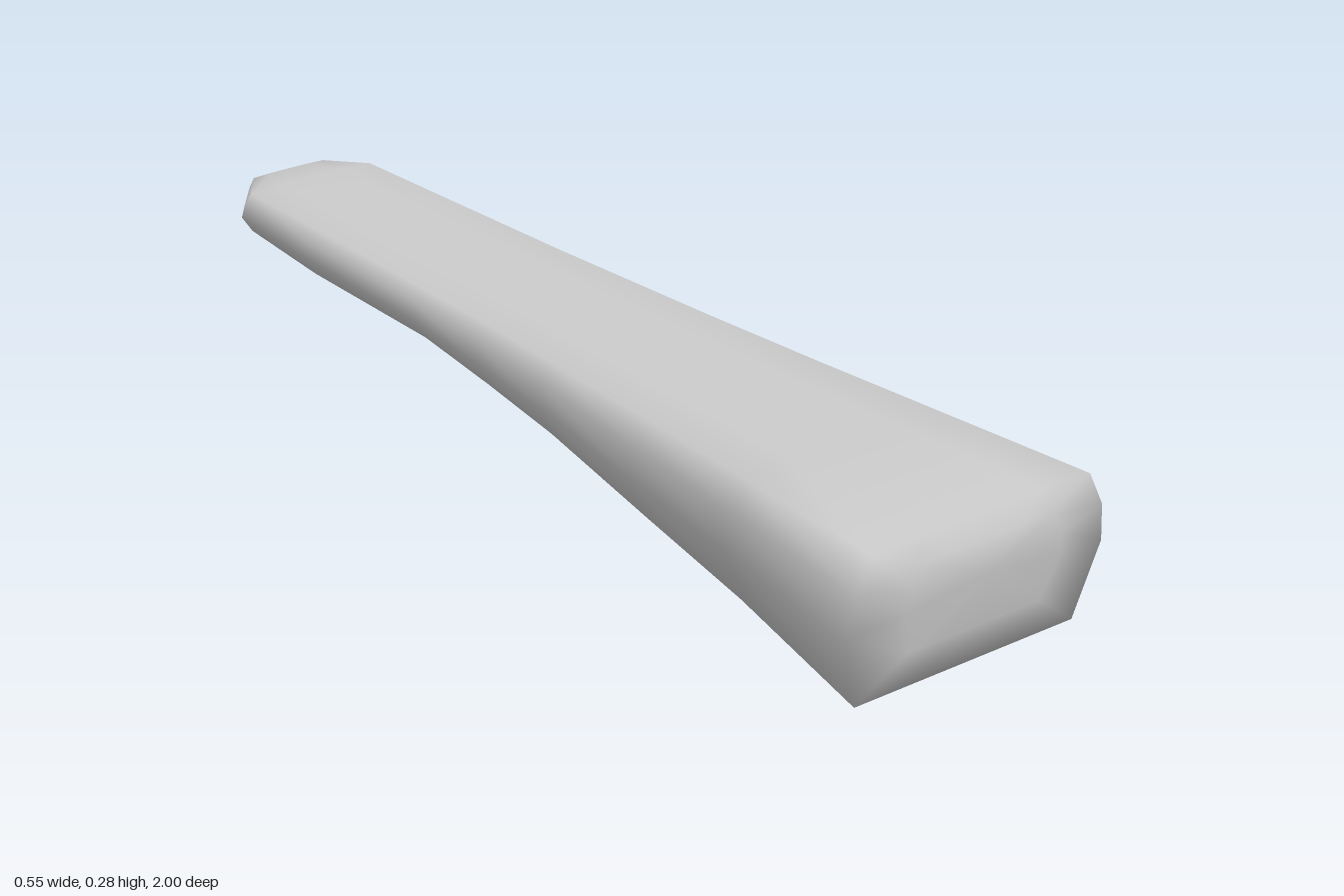
import * as THREE from 'three';
import { mergeVertices } from 'three/addons/utils/BufferGeometryUtils.js';

// Half cross-section from top centre to bottom centre: [share of half width, share of height]
const halfSection = (cornerX, cornerY) => [
  [0, 1], [0.45, 0.998], [0.85, 0.98], [0.955, 0.76], [1, 0.5], [cornerX, cornerY], [0.42, 0], [0, 0],
];

// Stations from narrow tip to broad end: z, x offset, half width, bottom, top, lower corner x and y
const stations = [
  [-1, 0.005, 0.068, 0.2, 0.25, 0.9, 0.02],
  [-0.97, 0.005, 0.095, 0.197, 0.273, 0.88, 0.1],
  [-0.89, 0.005, 0.162, 0.19, 0.277, 0.86, 0.12],
  [-0.67, 0.005, 0.168, 0.17, 0.277, 0.85, 0.12],
  [-0.3, 0.003, 0.18, 0.167, 0.277, 0.85, 0.12],
  [-0.1, 0.002, 0.19, 0.145, 0.278, 0.85, 0.12],
  [0.1, 0, 0.203, 0.122, 0.278, 0.85, 0.12],
  [0.38, 0, 0.224, 0.07, 0.278, 0.85, 0.12],
  [0.65, 0, 0.248, 0.037, 0.278, 0.85, 0.08],
  [0.97, 0, 0.277, 0, 0.278, 0.86, 0],
];

// Full ring, clockwise seen from the broad end
function ring([z, x0, w, bottom, top, cx, cy]) {
  const half = halfSection(cx, cy);
  const mirrored = half.slice(1, -1).reverse().map(([x, y]) => [-x, y]);
  return [...half, ...mirrored].map(([x, y]) =>
    new THREE.Vector3(x0 + x * w, bottom + y * (top - bottom), z));
}

// Shrinks a ring about a centre point, to close an end
const shrink = (points, centre, s) => points.map((p) => centre.clone().lerp(p, s));

function bodyGeometry() {
  const rings = stations.map(ring);

  // The broad end leans: proud near the top, set back at the foot
  const end = rings[rings.length - 1];
  for (const p of end) {
    p.z = p.y > 0.2 ? 0.98 - (p.y - 0.2) * 0.05 : 0.953 + p.y * 0.13;
  }
  const endCap = shrink(end, new THREE.Vector3(0, 0.18, 0.995), 0.6);
  for (const p of endCap) p.z += 0.01 * THREE.MathUtils.smoothstep(p.y, 0.08, 0.2);
  rings.push(endCap, shrink(end, new THREE.Vector3(0, 0.18, 1), 0));

  // Flat cap on the narrow tip
  const tip = new THREE.Vector3(0.005, 0.225, -1);
  rings.unshift(shrink(rings[0], tip, 0));

  // Skin neighbouring rings
  const n = rings[0].length;
  const positions = [];
  const triangle = (...corners) => {
    const area = new THREE.Triangle(...corners).getArea();
    if (area > 1e-9) corners.forEach((p) => positions.push(p.x, p.y, p.z));
  };
  for (let i = 0; i < rings.length - 1; i++) {
    for (let j = 0; j < n; j++) {
      const k = (j + 1) % n;
      const a = rings[i][j], b = rings[i][k], c = rings[i + 1][j], d = rings[i + 1][k];
      triangle(a, c, b);
      triangle(b, c, d);
    }
  }
  let geometry = new THREE.BufferGeometry();
  geometry.setAttribute('position', new THREE.Float32BufferAttribute(positions, 3));
  geometry = mergeVertices(geometry, 1e-4);
  geometry.computeVertexNormals();
  return geometry;
}

export function createModel() {
  const group = new THREE.Group();
  group.name = 'taperedWedge';
  const body = new THREE.Mesh(bodyGeometry(), new THREE.MeshStandardMaterial({ color: 0xcccccc }));
  body.name = 'wedgeBody';
  group.add(body);
  return group;
}
